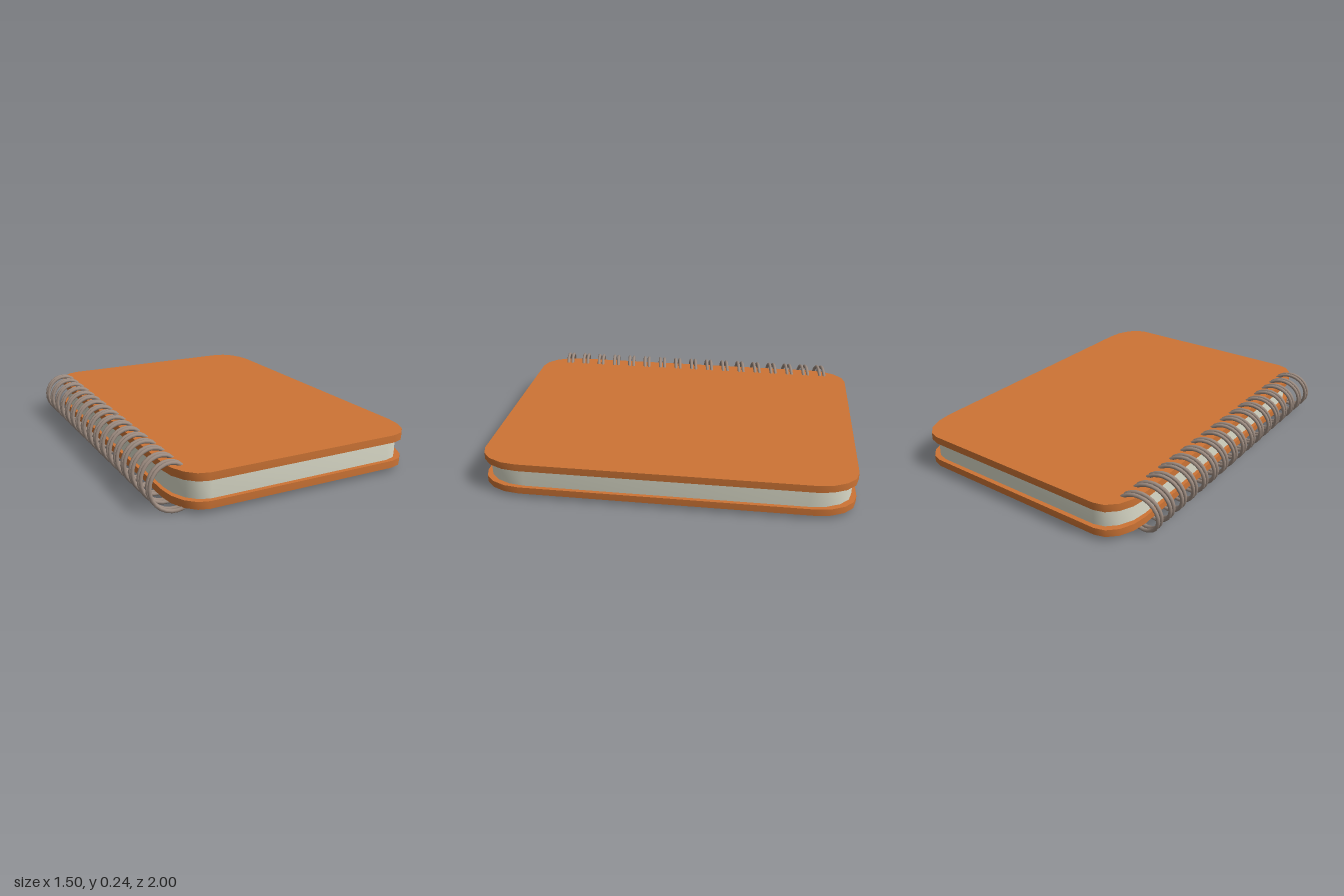
import * as THREE from 'three';
import { toCreasedNormals } from 'three/addons/utils/BufferGeometryUtils.js';

const mat = (color) => new THREE.MeshStandardMaterial({ color });

// Horizontal slab with elliptical rounded corners
function slab(name, x0, x1, halfZ, y0, y1, rx, rz, material) {
  const s = new THREE.Shape();
  s.moveTo(x1, -halfZ + rz);
  s.absellipse(x1 - rx, halfZ - rz, rx, rz, 0, Math.PI / 2);
  s.absellipse(x0 + rx, halfZ - rz, rx, rz, Math.PI / 2, Math.PI);
  s.absellipse(x0 + rx, -halfZ + rz, rx, rz, Math.PI, Math.PI * 1.5);
  s.absellipse(x1 - rx, -halfZ + rz, rx, rz, Math.PI * 1.5, Math.PI * 2);
  const g = new THREE.ExtrudeGeometry(s, { depth: y1 - y0, bevelEnabled: false, curveSegments: 2 });
  g.rotateX(-Math.PI / 2).translate(0, y0, 0);
  const mesh = new THREE.Mesh(toCreasedNormals(g, 0.7), material);
  mesh.name = name;
  return mesh;
}

// Helical wire running along z
class Helix extends THREE.Curve {
  constructor(zShift, a0, a1) {
    super();
    Object.assign(this, { zShift, a0, a1 });
  }
  getPoint(t, target = new THREE.Vector3()) {
    const a = this.a0 + (this.a1 - this.a0) * t;
    const z = -0.848 + this.zShift + 0.106 * (a - Math.PI / 2) / (Math.PI * 2);
    return target.set(-0.633 + 0.11 * Math.cos(a), 0.12 + 0.11 * Math.sin(a), z);
  }
}

export function createModel() {
  const model = new THREE.Group();
  const coverMat = mat(0xcd7435), pageMat = mat(0xdcdcca), wireMat = mat(0x9c8b80);

  // Covers and page block
  model.add(slab('bottomCover', -0.635, 0.75, 1, 0.025, 0.064, 0.15, 0.22, coverMat));
  model.add(slab('pages', -0.615, 0.73, 0.975, 0.064, 0.167, 0.15, 0.22, pageMat));
  model.add(slab('topCover', -0.635, 0.75, 1, 0.167, 0.208, 0.15, 0.22, coverMat));

  // Twin-wire spiral binding, 17 turns
  const binding = new THREE.Group();
  binding.name = 'spiralBinding';
  const start = -0.9, end = Math.PI * 2 * 16 + Math.PI * 1.72;
  for (const shift of [-0.014, 0.014]) {
    const path = new Helix(shift, start, end);
    const wire = new THREE.Mesh(new THREE.TubeGeometry(path, 17 * 24, 0.01, 8), wireMat);
    wire.name = 'spiralWire';
    binding.add(wire);
  }

  // Loose wire end poking out below the back corner
  const tip = new Helix(-0.014, start, end).getPoint(0);
  const outer = new THREE.Vector3(-0.565, 0.016, tip.z);
  const stub = new THREE.Mesh(new THREE.TubeGeometry(new THREE.LineCurve3(outer, tip), 1, 0.01, 8), wireMat);
  stub.name = 'wireEnd';
  const cap = new THREE.Mesh(new THREE.SphereGeometry(0.01, 8, 6), wireMat);
  cap.name = 'wireEndCap';
  cap.position.copy(outer);
  binding.add(stub, cap);
  model.add(binding);
  return model;
}
